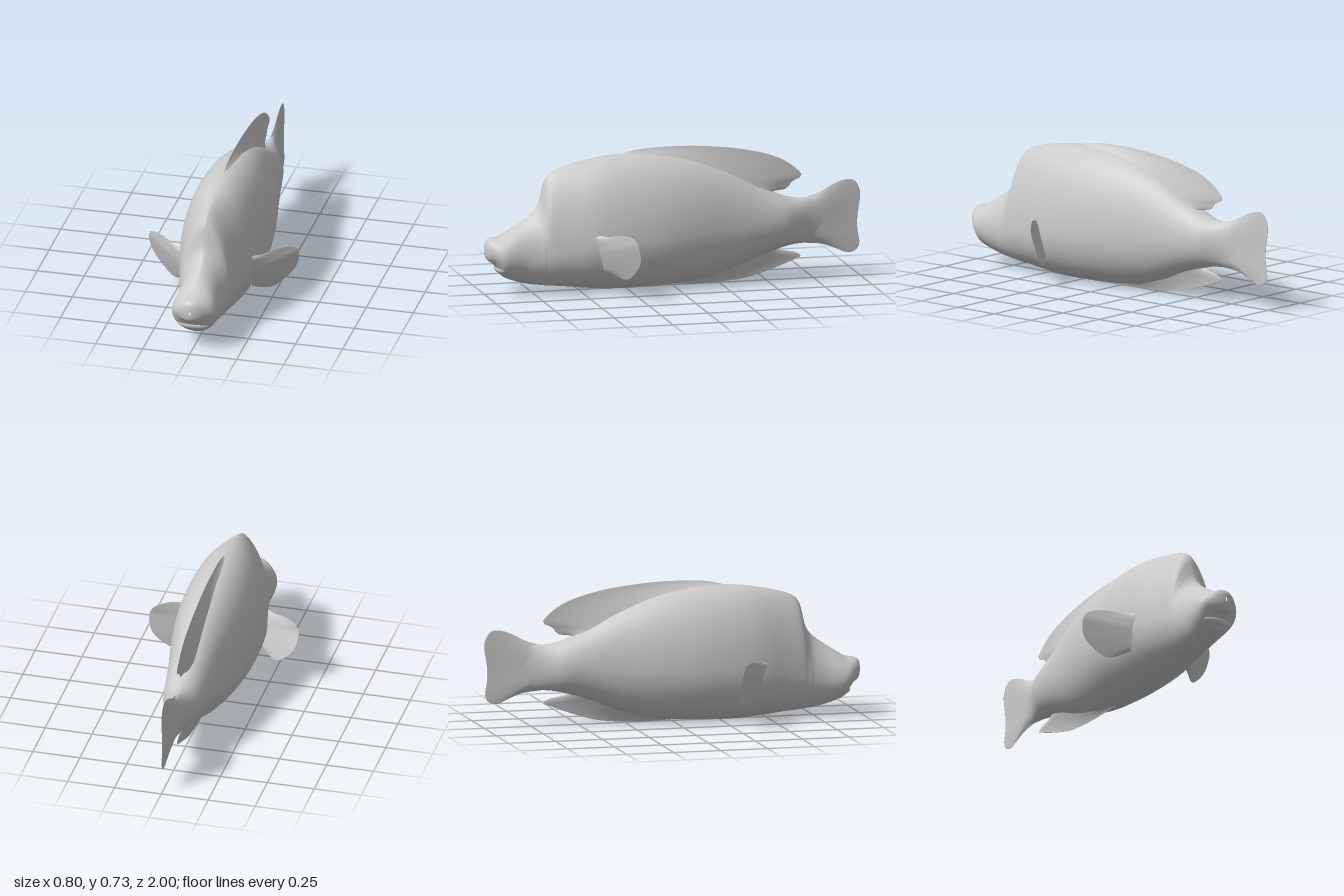
import * as THREE from 'three';

const V = (x, y, z) => new THREE.Vector3(x, y, z);

// Smooth surface from a grid of points; wrap joins the last column to the first
function gridSurface(rows, wrap) {
  const n = rows[0].length, index = [];
  for (let i = 0; i < rows.length - 1; i++) {
    for (let j = 0; j < (wrap ? n : n - 1); j++) {
      const k = (j + 1) % n;
      const a = i * n + j, b = i * n + k, c = a + n, d = b + n;
      index.push(a, c, b, b, c, d);
    }
  }
  const g = new THREE.BufferGeometry().setFromPoints(rows.flat());
  g.setIndex(index);
  g.computeVertexNormals();
  return g;
}

// Body sections from snout to tail root: z, bottom, top, half width, widest height
const SECTIONS = [
  [1.0, 0.225, 0.25, 0.004, 0.237], [0.995, 0.2, 0.28, 0.03, 0.24],
  [0.98, 0.18, 0.297, 0.062, 0.238], [0.955, 0.165, 0.302, 0.09, 0.225],
  [0.935, 0.137, 0.305, 0.107, 0.215], [0.91, 0.1, 0.313, 0.117, 0.205],
  [0.87, 0.08, 0.338, 0.118, 0.2], [0.8, 0.058, 0.383, 0.114, 0.2],
  [0.74, 0.047, 0.43, 0.12, 0.2], [0.71, 0.043, 0.475, 0.127, 0.21],
  [0.695, 0.041, 0.53, 0.13, 0.215], [0.68, 0.039, 0.59, 0.135, 0.22],
  [0.65, 0.036, 0.63, 0.143, 0.225], [0.58, 0.03, 0.66, 0.16, 0.24],
  [0.45, 0.015, 0.688, 0.193, 0.26], [0.3, 0.006, 0.706, 0.21, 0.28],
  [0.1, 0.01, 0.7, 0.212, 0.29], [-0.1, 0.025, 0.665, 0.187, 0.3],
  [-0.3, 0.075, 0.59, 0.148, 0.3], [-0.45, 0.135, 0.51, 0.122, 0.31],
  [-0.58, 0.175, 0.452, 0.1, 0.315], [-0.66, 0.19, 0.432, 0.066, 0.315],
  [-0.73, 0.193, 0.432, 0.036, 0.315], [-0.8, 0.2, 0.43, 0.018, 0.315],
  [-0.88, 0.22, 0.41, 0.004, 0.315],
];

function bodyGeometry() {
  const spline = (f) => new THREE.CatmullRomCurve3(SECTIONS.map(f), false, 'catmullrom', 0.5);
  const heights = spline((s) => V(s[0], s[1], s[2]));
  const widths = spline((s) => V(s[0], s[3], s[4]));
  const rows = [], N = 96, M = 48;
  for (let i = 0; i <= N; i++) {
    const h = heights.getPoint(i / N), w = widths.getPoint(i / N), ring = [];
    // The forehead is narrower above than a plain ellipse
    const pinch = 1 + 0.35 * THREE.MathUtils.smoothstep(h.x, 0.4, 0.65)
      * (1 - THREE.MathUtils.smoothstep(h.x, 0.75, 0.9));
    for (let j = 0; j < M; j++) {
      const a = (j / M) * Math.PI * 2, c = Math.cos(a), s = Math.sin(a);
      const x = w.y * Math.sign(c) * Math.abs(c) ** (s > 0 ? pinch : 1);
      ring.push(V(x, w.z + s * (s > 0 ? h.z - w.z : w.z - h.y), h.x));
    }
    rows.push(ring);
  }
  return gridSurface(rows, true);
}

// Fin stretched from a base curve to an outer edge, thinning towards the edge
function finGeometry(base, edge, thick, normal) {
  const inner = new THREE.CatmullRomCurve3(base), outer = new THREE.CatmullRomCurve3(edge);
  const rows = [], N = 48, M = 8;
  for (let i = 0; i <= N; i++) {
    const p = inner.getPointAt(i / N), q = outer.getPointAt(i / N), row = [];
    for (let j = -M; j <= M; j++) {
      const r = (j / M) ** 2;
      const t = Math.sign(j) * (thick * r ** 1.6 + 0.003 * Math.sqrt(r));
      row.push(q.clone().lerp(p, r).addScaledVector(normal, t));
    }
    rows.push(row);
  }
  return gridSurface(rows, false);
}

export function createModel() {
  const group = new THREE.Group();
  const skin = new THREE.MeshStandardMaterial({ color: 0xcccccc });
  const finSkin = new THREE.MeshStandardMaterial({ color: 0xcccccc, side: THREE.DoubleSide });
  const add = (name, geometry, material = finSkin) => {
    const mesh = new THREE.Mesh(geometry, material);
    mesh.name = name;
    group.add(mesh);
    return mesh;
  };
  // Points on the middle plane, given as [z, y]
  const mid = (pts) => pts.map(([z, y]) => V(0, y, z));
  const side = V(1, 0, 0);

  add('body', bodyGeometry(), skin);

  // Lower lip
  const lip = add('lowerLip', new THREE.SphereGeometry(1, 32, 16), skin);
  lip.scale.set(0.085, 0.027, 0.032);
  lip.position.set(0, 0.14, 0.912);

  add('dorsalFin', finGeometry(
    mid([[0.3, 0.69], [0.1, 0.68], [-0.1, 0.645], [-0.3, 0.57], [-0.45, 0.49], [-0.52, 0.455]]),
    mid([[0.3, 0.7], [0.2, 0.725], [0, 0.735], [-0.2, 0.725], [-0.42, 0.692], [-0.58, 0.64],
      [-0.67, 0.575], [-0.69, 0.545], [-0.64, 0.52], [-0.605, 0.482], [-0.52, 0.475]]),
    0.035, side));

  add('analFin', finGeometry(
    mid([[0.05, 0.04], [-0.1, 0.05], [-0.3, 0.1], [-0.45, 0.16], [-0.54, 0.19]]),
    mid([[0.05, 0.015], [-0.1, 0.008], [-0.25, 0.01], [-0.4, 0.026], [-0.55, 0.07],
      [-0.65, 0.108], [-0.685, 0.125], [-0.65, 0.147], [-0.6, 0.157], [-0.55, 0.178]]),
    0.03, side));

  add('tailFin', finGeometry(
    mid([[-0.7, 0.41], [-0.73, 0.36], [-0.73, 0.26], [-0.7, 0.21]]),
    mid([[-0.7, 0.43], [-0.77, 0.45], [-0.86, 0.495], [-0.92, 0.514], [-0.965, 0.51],
      [-0.995, 0.465], [-1, 0.43], [-0.985, 0.32], [-0.985, 0.25], [-0.995, 0.175],
      [-0.975, 0.14], [-0.93, 0.13], [-0.87, 0.155], [-0.8, 0.18], [-0.7, 0.192]]),
    0.025, side));

  // Pectoral fins sweep backwards, with the lower edge folded further back
  for (const [name, m] of [['leftPectoralFin', 1], ['rightPectoralFin', -1]]) {
    const place = ([x, y]) =>
      V(m * x, y, 0.43 - 0.75 * (x - 0.2) - 0.35 * Math.max(0, 0.3 - y));
    add(name, finGeometry(
      [[0.18, 0.315], [0.18, 0.22], [0.17, 0.13]].map(place),
      [[0.19, 0.323], [0.24, 0.325], [0.31, 0.342], [0.38, 0.332], [0.398, 0.305],
        [0.386, 0.22], [0.345, 0.16], [0.28, 0.105], [0.25, 0.098], [0.18, 0.125]].map(place),
      0.016, V(m * 0.6, 0, 0.8)));
  }
  return group;
}
